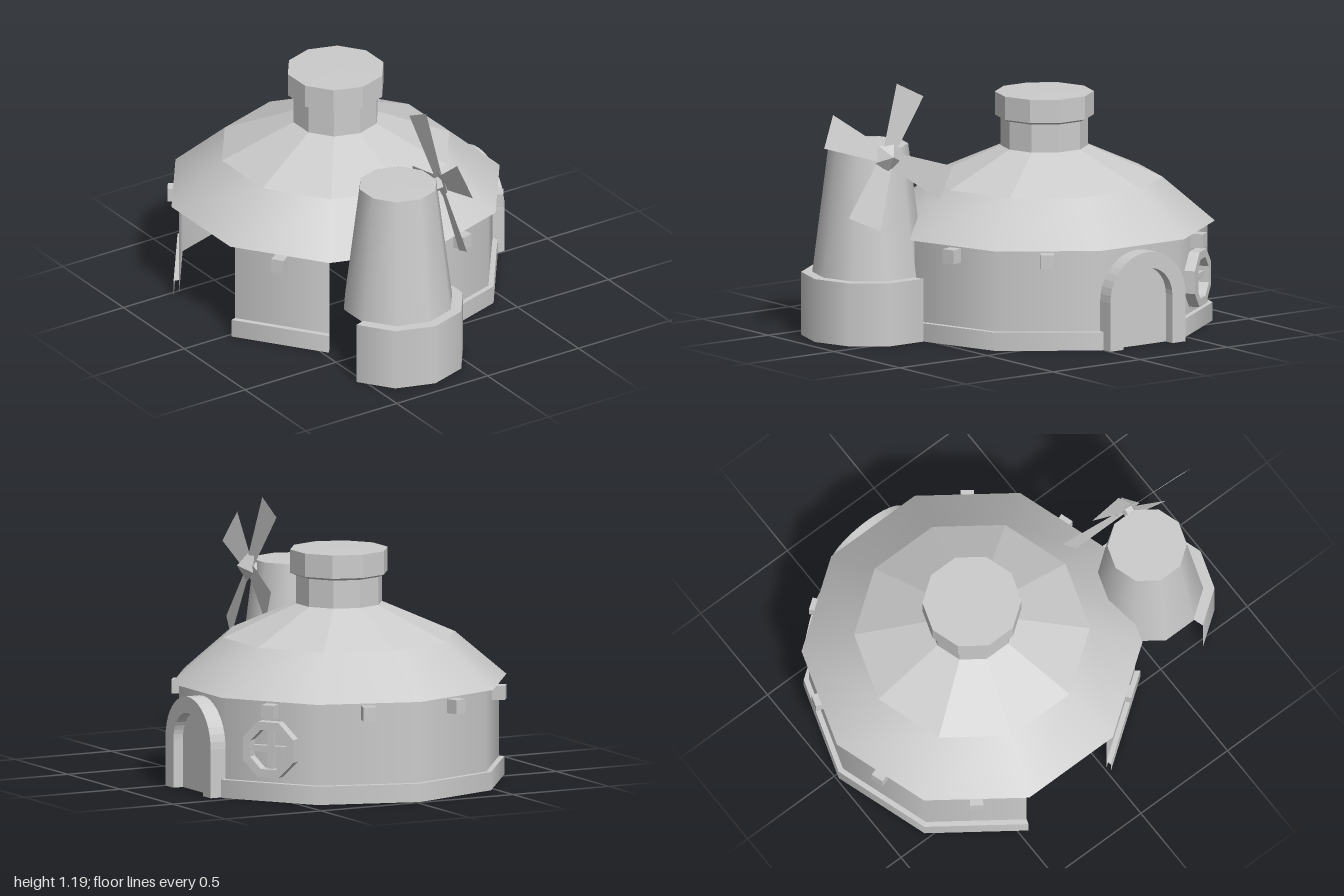
import * as THREE from 'three';

const DEG = Math.PI / 180;
const STEP = 36 * DEG; // every round part has ten sides
const smooth = new THREE.MeshStandardMaterial({ color: 0xcccccc, side: THREE.DoubleSide });
const flat = new THREE.MeshStandardMaterial({ color: 0xcccccc, side: THREE.DoubleSide, flatShading: true });

function add(parent, name, geometry, material = flat) {
  const mesh = new THREE.Mesh(geometry, material);
  mesh.name = name;
  parent.add(mesh);
  return mesh;
}

// Open ten-sided shell; first and count choose the sides that exist
function shell(parent, name, rTop, rBottom, y0, y1, material = smooth, first = 0, count = 10) {
  const g = new THREE.CylinderGeometry(rTop, rBottom, y1 - y0, count, 1, true, first * STEP, count * STEP);
  return add(parent, name, g.translate(0, (y0 + y1) / 2, 0), material);
}

// Flat ten-sided ring or disc facing up
function ledge(parent, name, rIn, rOut, y, first = 0, count = 10) {
  return shell(parent, name, rIn, rOut, y - 0.0005, y + 0.0005, flat, first, count);
}

// Put an object on the house wall, facing outwards
function onWall(object, degrees, y = 0) {
  const a = degrees * DEG, d = 0.7085;
  object.rotation.y = a;
  object.position.set(Math.sin(a) * d, y, Math.cos(a) * d);
}

function archShape(r, spring) {
  const s = new THREE.Shape();
  s.moveTo(-r, 0);
  s.lineTo(r, 0);
  s.lineTo(r, spring);
  s.absarc(0, spring, r, 0, Math.PI, false);
  s.lineTo(-r, 0);
  return s;
}

function octagon(r, Type = THREE.Shape) {
  const pts = [];
  for (let i = 0; i < 8; i++) {
    const a = (i + 0.5) * Math.PI / 4;
    pts.push(new THREE.Vector2(Math.cos(a) * r, Math.sin(a) * r));
  }
  return new Type(pts);
}

function extrude(shape, depth) {
  return new THREE.ExtrudeGeometry(shape, { depth, bevelEnabled: false, curveSegments: 10 });
}

function buildHouse() {
  const house = new THREE.Group();
  house.name = 'house';
  house.position.set(-0.02, 0, -0.22);

  // Walls and plinth, open on two sides
  for (const [first, count] of [[0, 7], [-2, 1]]) {
    shell(house, 'wall', 0.745, 0.745, 0, 0.465, smooth, first, count);
    shell(house, 'plinth', 0.77, 0.77, 0, 0.085, smooth, first, count);
    ledge(house, 'plinthTop', 0.745, 0.77, 0.085, first, count);
  }

  // Two-pitch roof
  shell(house, 'lowerRoof', 0.54, 0.78, 0.465, 0.67);
  shell(house, 'upperRoof', 0.2, 0.54, 0.67, 0.82, flat);

  // Chimney with a wider cap
  shell(house, 'chimneyNeck', 0.2, 0.2, 0.82, 0.95, flat);
  shell(house, 'chimneyFlare', 0.227, 0.2, 0.95, 0.962, flat);
  shell(house, 'chimneyCap', 0.227, 0.227, 0.962, 1.07, flat);
  ledge(house, 'chimneyTop', 0, 0.227, 1.07);

  // Beam ends below the eaves
  for (const a of [18, 54, 126, 162, 198, 234, 306]) {
    const beam = add(house, 'beamEnd', new THREE.BoxGeometry(0.06, 0.065, 0.12));
    onWall(beam, a, 0.418);
  }

  // Arched doorway
  const door = new THREE.Group();
  door.name = 'doorway';
  const arch = new THREE.Shape();
  arch.moveTo(0.14, 0);
  arch.lineTo(0.215, 0);
  arch.lineTo(0.215, 0.225);
  arch.absarc(0, 0.225, 0.215, 0, Math.PI, false);
  arch.lineTo(-0.215, 0);
  arch.lineTo(-0.14, 0);
  arch.lineTo(-0.14, 0.225);
  arch.absarc(0, 0.225, 0.14, Math.PI, 0, true);
  arch.lineTo(0.14, 0);
  add(door, 'doorFrame', extrude(arch, 0.078));
  add(door, 'door', extrude(archShape(0.14, 0.225), 0.028));
  onWall(door, 90);
  house.add(door);

  // Octagonal window with crossed bars
  const win = new THREE.Group();
  win.name = 'window';
  const frame = octagon(0.138);
  frame.holes.push(octagon(0.098, THREE.Path));
  add(win, 'windowFrame', extrude(frame, 0.05));
  add(win, 'windowBar', new THREE.BoxGeometry(0.03, 0.185, 0.05));
  add(win, 'windowBar', new THREE.BoxGeometry(0.185, 0.03, 0.05));
  onWall(win, 126, 0.243);
  house.add(win);
  return house;
}

function buildMill() {
  const mill = new THREE.Group();
  mill.name = 'windmill';
  mill.position.set(-0.24, 0, 0.622);

  // Round base, open towards the house
  shell(mill, 'millBase', 0.308, 0.308, 0, 0.293, smooth, -2, 5);
  ledge(mill, 'millBaseTop', 0.255, 0.308, 0.293, -2, 5);

  // Tapered tower
  shell(mill, 'tower', 0.182, 0.258, 0.285, 0.89);
  ledge(mill, 'towerTop', 0, 0.182, 0.89);
  return mill;
}

function buildSails() {
  const sails = new THREE.Group();
  sails.name = 'sails';
  sails.position.set(-0.037, 0.86, 0.667);
  sails.lookAt(sails.position.clone().add(new THREE.Vector3(1, 0.15, 0.13)));

  // Five-sided hub pointing away from the tower
  const hub = new THREE.ConeGeometry(0.068, 0.06, 5).rotateX(Math.PI / 2).translate(0, 0, 0.03);
  add(sails, 'hub', hub);
  const axle = new THREE.CylinderGeometry(0.03, 0.03, 0.06, 5).rotateX(Math.PI / 2);
  add(sails, 'axle', axle.translate(0, 0, -0.03));

  // Four flaring blades, each slightly pitched
  const outline = [[-0.035, 0.03], [0.035, 0.03], [0.083, 0.33], [-0.083, 0.33]];
  const blade = new THREE.ShapeGeometry(new THREE.Shape(outline.map((p) => new THREE.Vector2(...p))));
  blade.rotateY(8 * DEG);
  for (let i = 0; i < 4; i++) {
    add(sails, 'blade', blade).rotation.z = -26 * DEG + i * Math.PI / 2;
  }
  return sails;
}

export function createModel() {
  const model = new THREE.Group();
  model.name = 'windmillHouse';
  model.add(buildHouse(), buildMill(), buildSails());
  return model;
}
